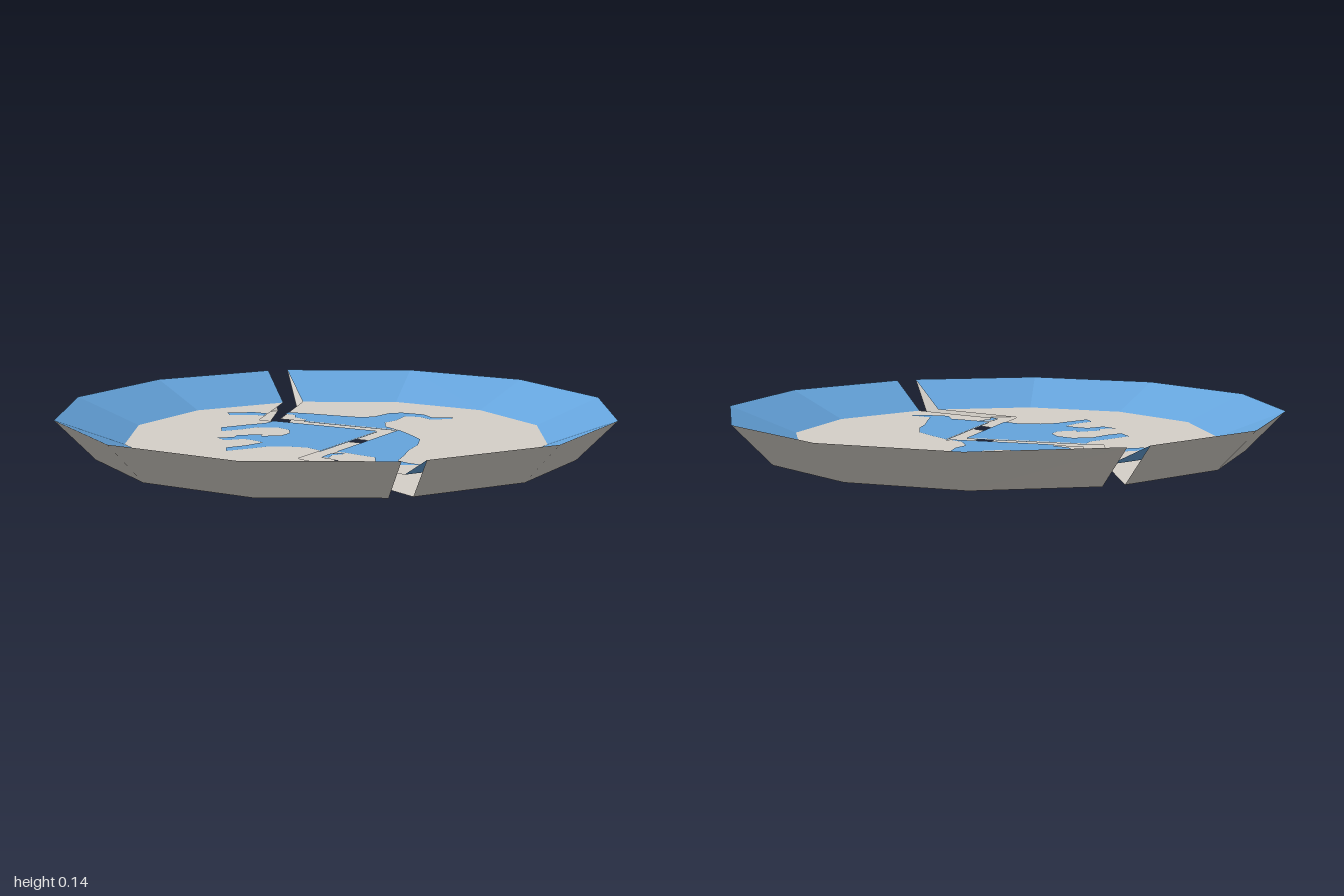
import * as THREE from 'three';

const glaze = new THREE.MeshStandardMaterial({ color: 0x65a4dc, side: THREE.DoubleSide });
glaze.name = 'blue glaze';
const clay = new THREE.MeshStandardMaterial({ color: 0xd4cfc8, side: THREE.DoubleSide });
clay.name = 'pale clay';

const GAP = 0.04, RIM_Y = 0.145, FLOOR_Y = 0.05;
// Zigzag crack, rear to front, between the ends of the floor rings
const crackTop = [[-0.17, -0.36], [0.197, -0.022], [-0.19, 0.385]];
const crackBottom = [[-0.16, -0.355], [0.195, -0.035], [-0.17, 0.385]];

// Half of a twelve-sided ring, rear to front, on side s
function halfRing(s, r, rearX = 0) {
  const pts = [];
  for (let i = 0; i <= 6; i++) {
    const a = (i / 6 - 0.5) * Math.PI;
    pts.push([i === 0 ? rearX : s * r * Math.cos(a), r * Math.sin(a)]);
  }
  return pts;
}

// Flat facets between two half rings at different heights
function band(a, ya, b, yb, flip) {
  const pos = [];
  for (let i = 0; i < a.length - 1; i++) {
    const p = [a[i][0], ya, a[i][1]], q = [a[i + 1][0], ya, a[i + 1][1]];
    const r = [b[i + 1][0], yb, b[i + 1][1]], t = [b[i][0], yb, b[i][1]];
    pos.push(...(flip ? [p, r, q, p, t, r] : [p, q, r, p, r, t]).flat());
  }
  const g = new THREE.BufferGeometry();
  g.setAttribute('position', new THREE.Float32BufferAttribute(pos, 3));
  g.computeVertexNormals();
  return g;
}

// Flat horizontal sheet from [x, z] points
function sheet(pts, y, up) {
  const k = up ? -1 : 1;
  const g = new THREE.ShapeGeometry(new THREE.Shape(pts.map(([x, z]) => new THREE.Vector2(x, k * z))));
  g.rotateX(k * Math.PI / 2);
  g.translate(0, y, 0);
  return g;
}

// Painted blue patches, placed as they lie on the separated halves
const patches = {
  left: [
    [[-0.3, -0.53], [-0.2, -0.52], [-0.155, -0.48], [-0.18, -0.43], [-0.21, -0.46], [-0.3, -0.475]],
    [[-0.165, -0.315], [0.157, -0.022], [-0.13, 0.283], [-0.16, 0.22], [-0.23, 0.18], [-0.29, 0.17],
      [-0.36, 0.19], [-0.44, 0.21], [-0.43, 0.15], [-0.36, 0.13], [-0.29, 0.09], [-0.31, 0.05],
      [-0.34, 0.01], [-0.41, 0.02], [-0.43, -0.04], [-0.37, -0.03], [-0.35, -0.065], [-0.26, -0.06],
      [-0.27, -0.03], [-0.2, -0.02], [-0.16, -0.06], [-0.15, -0.12], [-0.18, -0.18], [-0.25, -0.2],
      [-0.32, -0.17], [-0.39, -0.155], [-0.38, -0.23], [-0.28, -0.26], [-0.2, -0.28]],
  ],
  right: [
    [[-0.07, -0.485], [0.0, -0.44], [0.09, -0.37], [0.16, -0.32], [0.22, -0.31], [0.3, -0.37],
      [0.35, -0.37], [0.42, -0.31], [0.43, -0.24], [0.51, -0.22], [0.49, -0.19], [0.41, -0.2],
      [0.39, -0.26], [0.34, -0.29], [0.28, -0.21], [0.23, -0.18], [0.21, -0.1], [0.235, -0.024],
      [-0.055, -0.29], [-0.04, -0.31], [-0.07, -0.37], [-0.06, -0.42], [-0.09, -0.45]],
    [[0.237, -0.022], [0.25, 0.06], [0.26, 0.17], [0.22, 0.27], [0.165, 0.35], [0.12, 0.44],
      [0.08, 0.51], [0.1, 0.55], [0.14, 0.6], [0.07, 0.58], [0, 0.52], [0.02, 0.44],
      [-0.02, 0.39], [-0.055, 0.34], [-0.08, 0.312]],
    [[-0.148, 0.385], [-0.11, 0.343], [-0.07, 0.34], [-0.06, 0.36], [-0.11, 0.37], [-0.13, 0.41]],
  ],
};

function plateHalf(side) {
  const s = side === 'right' ? 1 : -1;
  const half = new THREE.Group();
  half.name = side === 'right' ? 'plateHalfPlusX' : 'plateHalfMinusX';
  const add = (name, geo, mat) => {
    const m = new THREE.Mesh(geo, mat);
    m.name = name;
    half.add(m);
  };
  const rim = halfRing(s, 0.96, -0.01), floor = halfRing(s, 0.72), base = halfRing(s, 0.82);
  // Thin open shell: glazed slope, floor, outer wall and underside
  add('innerSlope', band(rim, RIM_Y, floor, FLOOR_Y, s < 0), glaze);
  add('floor', sheet([...floor, ...[...crackTop].reverse()], FLOOR_Y, true), clay);
  add('outerWall', band(rim, RIM_Y, base, 0, s > 0), clay);
  add('underside', sheet([...base, ...[...crackBottom].reverse()], 0, false), clay);
  // Paint shows on both faces of the thin floor
  for (const pts of patches[side]) {
    const local = pts.map(([x, z]) => [x - s * GAP, z]);
    add('paintedPatch', sheet(local, FLOOR_Y + 0.002, true), glaze);
    add('paintedPatchBelow', sheet(local, FLOOR_Y - 0.002, false), glaze);
  }
  half.position.x = s * GAP;
  return half;
}

export function createModel() {
  const group = new THREE.Group();
  group.name = 'brokenPlate';
  group.add(plateHalf('left'), plateHalf('right'));
  return group;
}
